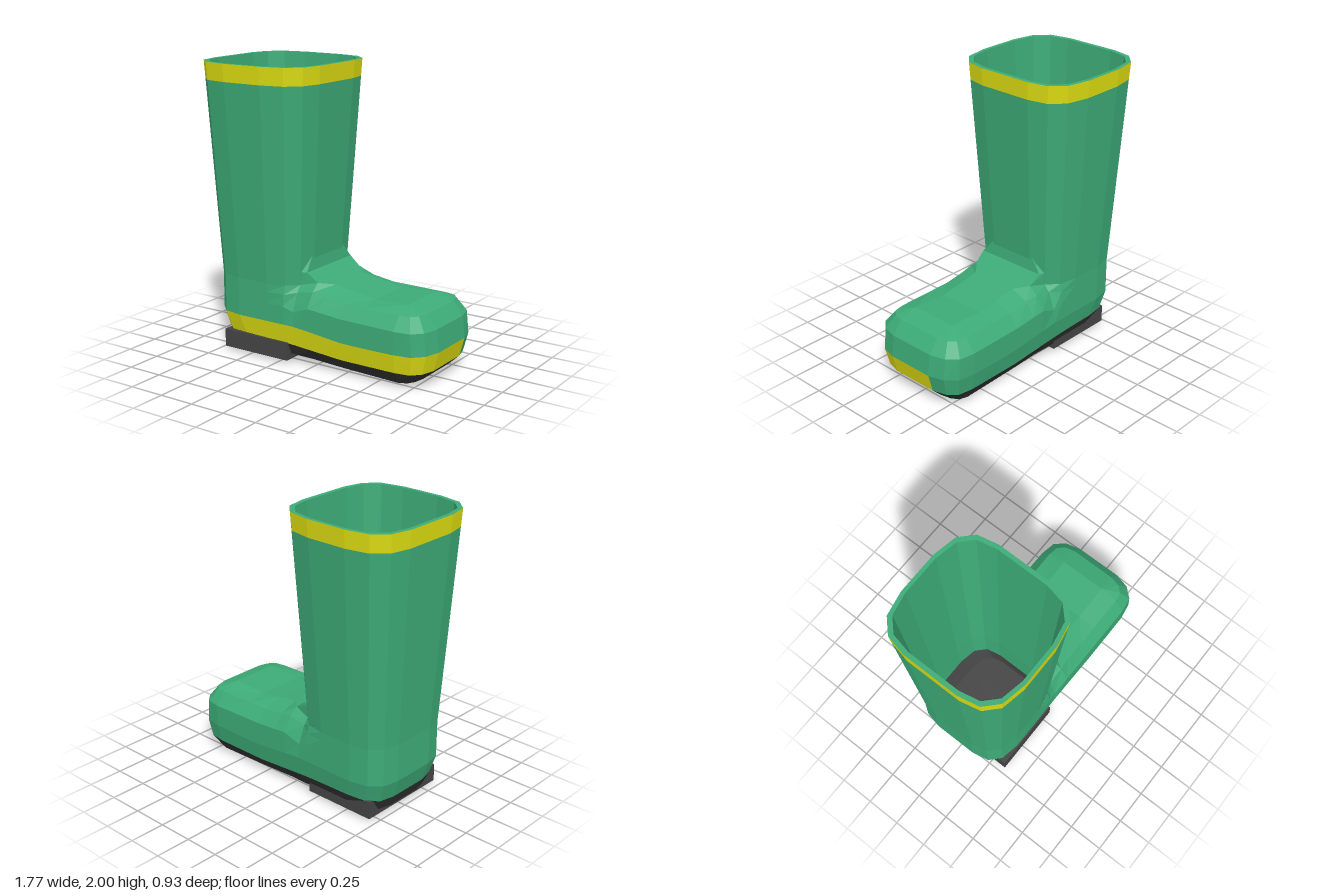
import * as THREE from 'three';

const material = (color) => new THREE.MeshStandardMaterial({ color, flatShading: true, side: THREE.DoubleSide });
const GREEN = material(0x3dab77), YELLOW = material(0xdddd12), RUBBER = material(0x303030), GREY = material(0x444444);

// Piecewise-linear lookup through [x, y] points
function along(points, x) {
  if (x <= points[0][0]) return points[0][1];
  for (let i = 1; i < points.length; i++) {
    const [xa, ya] = points[i - 1], [xb, yb] = points[i];
    if (x <= xb) return ya + (yb - ya) * (x - xa) / (xb - xa);
  }
  return points[points.length - 1][1];
}

const mirrorZ = ([x, y, z]) => [x, y, -z];
const closeRing = (half) => [...half, ...half.slice().reverse().map(mirrorZ)];

// Quads between neighbouring rings; keep(row, column) selects the faces
function loft(rings, keep = () => true, closed = true) {
  const quads = [];
  for (let r = 0; r + 1 < rings.length; r++) {
    const a = rings[r], b = rings[r + 1], n = a.length;
    for (let i = 0; i < (closed ? n : n - 1); i++) {
      const j = (i + 1) % n;
      if (keep(r, i)) quads.push([a[i], a[j], b[j], b[i]]);
    }
  }
  return quads;
}

// Flat strip joining a half ring to its mirror image
function bridge(half, up) {
  const quads = [];
  for (let i = 0; i + 1 < half.length; i++) {
    const q = [half[i], half[i + 1], mirrorZ(half[i + 1]), mirrorZ(half[i])];
    quads.push(up ? q : q.reverse());
  }
  return quads;
}

function addMesh(group, name, quads, mat) {
  const pos = quads.flatMap(([a, b, c, d]) => [...a, ...b, ...c, ...a, ...c, ...d]);
  const geo = new THREE.BufferGeometry();
  geo.setAttribute('position', new THREE.Float32BufferAttribute(pos, 3));
  geo.computeVertexNormals();
  const mesh = new THREE.Mesh(geo, mat);
  mesh.name = name;
  group.add(mesh);
}

// Rounded-rectangle ring of the shaft
function shaftRing(y, x0, x1, hz) {
  const plan = [[0, 0.43], [0.035, 0.74], [0.14, 0.93], [0.33, 1], [0.67, 1], [0.86, 0.93], [0.965, 0.74], [1, 0.43]];
  return closeRing(plan.map(([u, w]) => [x0 + (x1 - x0) * u, y, hz * w]));
}

// Foot levels from sole to instep: heel x, toe x, half widths from heel to toe, height along x
const LEVELS = [
  { x0: -0.70, x1: 0.68, w: [0.27, 0.27, 0.26, 0.22, 0.17], y: [[-0.2, 0.04], [-0.1, 0.045], [0.25, 0], [0.66, 0.01]] },
  { x0: -0.74, x1: 0.77, w: [0.31, 0.31, 0.31, 0.3, 0.3], y: [[-0.2, 0.06], [0.25, 0.04], [0.66, 0.03], [0.77, 0.04]] },
  { x0: -0.77, x1: 0.845, w: [0.345, 0.345, 0.345, 0.345, 0.345], y: [[-0.75, 0.14], [-0.5, 0.15], [-0.18, 0.14], [0.25, 0.11]] },
  { x0: -0.81, x1: 0.88, w: [0.37, 0.37, 0.37, 0.37, 0.37], y: [[-0.1, 0.275], [0.28, 0.235], [0.88, 0.24]] },
  { x0: -0.81, x1: 0.862, w: [0.37, 0.37, 0.36, 0.37, 0.37], y: [[-0.2, 0.4], [-0.12, 0.37], [0, 0.42], [0.25, 0.4], [0.86, 0.39]] },
  { x0: -0.81, x1: 0.79, w: [0.37, 0.36, 0.31, 0.31, 0.3], y: [[-0.2, 0.48], [0, 0.52], [0.25, 0.485], [0.79, 0.48]] },
  { x0: -0.81, x1: 0.66, w: [0.37, 0.345, 0.274, 0.25, 0.17], y: [[-0.2, 0.54], [-0.125, 0.54], [0, 0.57], [0.38, 0.505], [0.66, 0.52]] },
];

function footHalf({ x0, x1, w, y }) {
  const [heel, bend, crease, instep, foot] = w;
  const plan = [
    [x0, heel * 0.43], [x0 + 0.025, heel * 0.74], [x0 + 0.1, heel * 0.93], [x0 + 0.234, heel],
    [-0.334, heel], [-0.2, bend], [-0.125, crease], [0, instep], [0.09, foot], [0.25, foot], [0.4, foot],
  ];
  // Rounded toe
  for (const [u, k] of [[0, 1], [0.55, 0.9], [0.86, 0.55], [1, 0]])
    plan.push([0.66 + (x1 - 0.66) * u, 0.17 + (foot - 0.17) * k]);
  return plan.map(([x, z]) => [x, along(y, x), z]);
}

export function createModel() {
  const boot = new THREE.Group();
  boot.name = 'rubberBoot';

  // Foot shell, with the stripe on one side and around the toe tip
  const halves = LEVELS.map(footHalf), rings = halves.map(closeRing);
  const isStripe = (r, i) => r === 2 && i >= 1 && i <= 14;
  addMesh(boot, 'sole', [...loft(rings, (r) => r < 2), ...bridge(halves[0], false)], RUBBER);
  addMesh(boot, 'sideStripe', loft(rings, isStripe), YELLOW);
  addMesh(boot, 'foot', [
    ...loft(rings, (r, i) => r >= 2 && !isStripe(r, i)),
    ...bridge(halves[6].slice(7), true),
  ], GREEN);

  // Raised fold where the instep meets the shaft
  const fold = [
    [[-0.125, 0.54, 0.274], [0, 0.57, 0.25]],
    [[-0.125, 0.63, 0.274], [-0.08, 0.63, 0.26]],
    [[-0.12, 0.74, 0.17], [-0.094, 0.74, 0.17]],
  ];
  addMesh(boot, 'instepFold', loft(fold.map(closeRing), () => true, false), GREEN);

  // Shaft: outer wall, top band, rim, then the inner wall going down
  const shaft = [
    shaftRing(0.54, -0.81, -0.1, 0.37),
    shaftRing(1.88, -0.883, -0.019, 0.455),
    shaftRing(2, -0.89, -0.012, 0.463),
    shaftRing(2, -0.86, -0.042, 0.437),
    shaftRing(0.55, -0.785, -0.125, 0.35),
    shaftRing(0.28, -0.76, -0.125, 0.335),
  ];
  addMesh(boot, 'shaft', loft(shaft, (r) => r !== 1), GREEN);
  addMesh(boot, 'topBand', loft(shaft, (r) => r === 1), YELLOW);

  // Insole inside the shaft
  const insole = [shaft[5], shaftRing(0.16, -0.69, -0.125, 0.27)];
  addMesh(boot, 'insole', [...loft(insole), ...bridge(insole[1].slice(0, 8), true)], GREY);

  // Heel block
  const heel = new THREE.Mesh(new THREE.BoxGeometry(0.53, 0.125, 0.68), GREY);
  heel.name = 'heel';
  heel.position.set(-0.445, 0.0825, 0.02);
  boot.add(heel);

  return boot;
}
